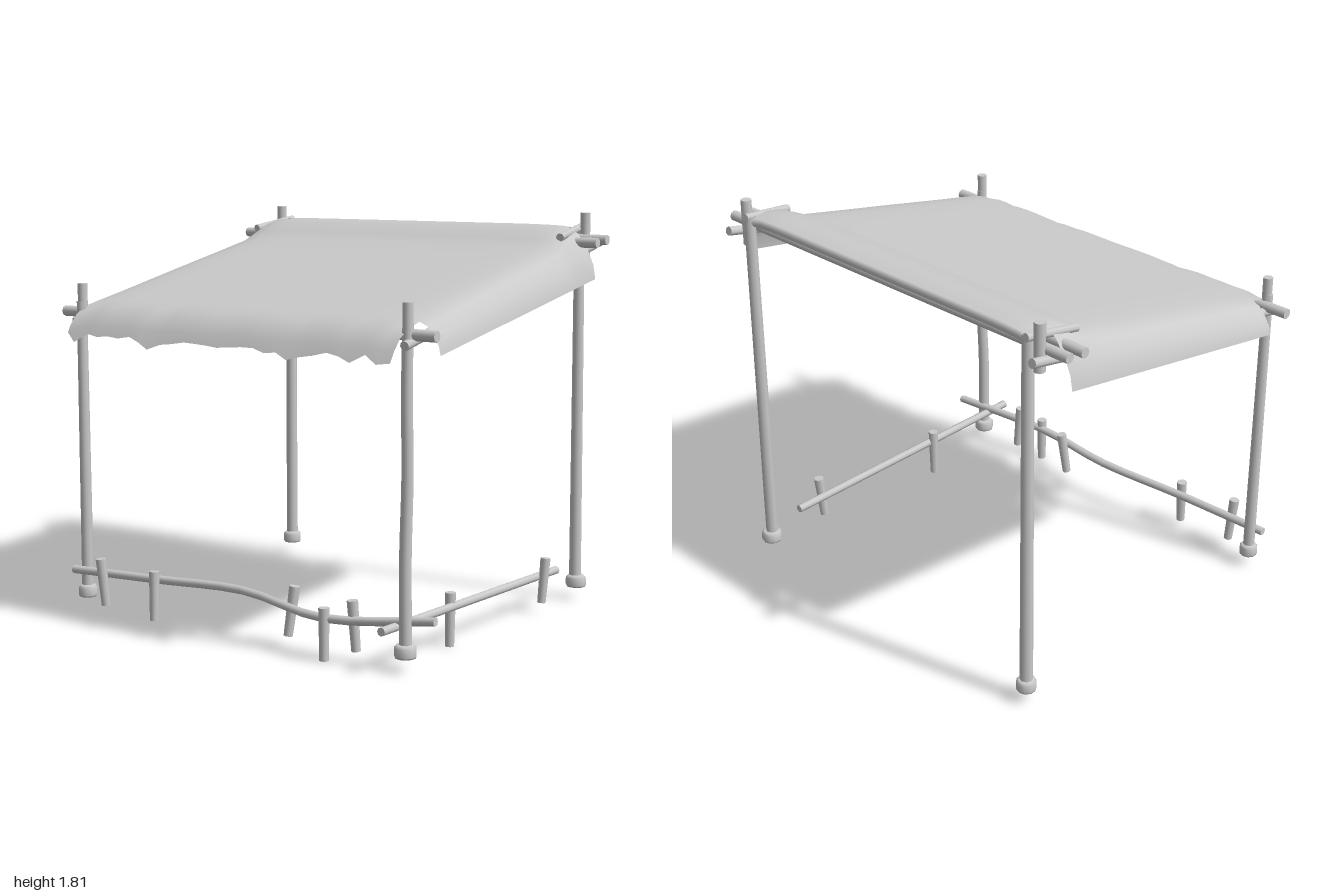
import * as THREE from 'three';

const material = new THREE.MeshStandardMaterial({ color: 0xcccccc });
const clothMaterial = new THREE.MeshStandardMaterial({ color: 0xcccccc, side: THREE.DoubleSide });
const V = (p) => new THREE.Vector3(...p);

// Round timber through evenly spread points; inner points bend it.
function pole(name, points, r0, r1 = r0, sides = 8) {
  const pts = points.map(V);
  const a = pts[0], b = pts[pts.length - 1];
  const dir = b.clone().sub(a);
  const bent = pts.length > 2;
  const geo = new THREE.CylinderGeometry(r1, r0, dir.length(), sides, bent ? 16 : 1);
  geo.translate(0, dir.length() / 2, 0);
  const turn = new THREE.Quaternion().setFromUnitVectors(new THREE.Vector3(0, 1, 0), dir.clone().normalize());
  const pos = geo.attributes.position;
  const curve = bent ? new THREE.CatmullRomCurve3(pts) : null;
  const v = new THREE.Vector3();
  const ts = Array.from(pos.array).filter((_, i) => i % 3 === 1).map((y) => y / dir.length());
  geo.applyQuaternion(turn);
  for (let i = 0; i < pos.count; i++) {
    v.fromBufferAttribute(pos, i).add(a);
    if (bent) v.add(curve.getPoint(Math.min(1, Math.max(0, ts[i])))).sub(a.clone().lerp(b, ts[i]));
    pos.setXYZ(i, v.x, v.y, v.z);
  }
  geo.computeBoundingSphere();
  const mesh = new THREE.Mesh(geo, material);
  mesh.name = name;
  return mesh;
}

// Rounded shoe under a post
function foot(name, x, z, r) {
  const profile = [[0, 0], [r * 0.92, 0], [r, 0.008], [r, 0.042], [r * 0.75, 0.055], [0, 0.055]];
  const mesh = new THREE.Mesh(new THREE.LatheGeometry(profile.map((p) => new THREE.Vector2(...p)), 10), material);
  mesh.position.set(x, 0.06, z);
  mesh.name = name;
  return mesh;
}

// Canopy: rows run back to front, columns run across with a drooping flap on each side.
function canopy() {
  // z, y, half width
  const rows = [
    [-0.775, 1.715, 0.82], [-0.785, 1.735, 0.82], [-0.77, 1.752, 0.82], [-0.68, 1.757, 0.83],
    [-0.6, 1.738, 0.84], [-0.52, 1.698, 0.85], [-0.45, 1.662, 0.86], [-0.2, 1.606, 0.865],
    [0.1, 1.542, 0.865], [0.4, 1.476, 0.865], [0.62, 1.428, 0.87], [0.7, 1.405, 0.87],
    [0.76, 1.37, 0.87], [0.8, 1.325, 0.87], [0.83, 1.28, 0.87],
  ];
  const flapFrom = 3, flapTo = 10;
  // Height of the torn front hem across the width
  const hem = [1.3, 1.255, 1.29, 1.28, 1.285, 1.28, 1.29, 1.27, 1.245, 1.268, 1.275, 1.285, 1.283, 1.28, 1.275,
    1.28, 1.285, 1.285, 1.27, 1.275, 1.25, 1.265, 1.275, 1.29, 1.28, 1.26, 1.295, 1.265, 1.28];
  const flap = [[0.35, 0.12], [0.7, 0.42], [0.92, 0.72], [1, 1]]; // outward, downward
  const n = hem.length, f = flap.length, cols = n + 2 * f;
  const positions = [], index = [];
  rows.forEach(([z, y, w], r) => {
    const last = r === rows.length - 1;
    const k = THREE.MathUtils.clamp((z + 0.68) / 1.3, 0, 1);
    const bottom = THREE.MathUtils.lerp(1.515, 1.285, k);
    for (let c = 0; c < cols; c++) {
      const i = c - f;
      if (i >= 0 && i < n) {
        const s = (i / (n - 1)) * 2 - 1;
        const droop = 0.012 * Math.pow(Math.abs(s), 12);
        const ripple = r > 10 && !last ? (hem[i] - 1.277) * 0.25 : 0;
        const zHem = last ? z - (hem[i] - 1.277) * 0.6 : z;
        positions.push(s * w, (last ? hem[i] : y + ripple) - droop, zHem);
      } else {
        const side = i < 0 ? -1 : 1;
        const [out, down] = flap[i < 0 ? -i - 1 : i - n];
        const top = y - 0.012;
        positions.push(side * (w + (0.97 - w) * out), top + (bottom - top) * down, z);
      }
    }
  });
  for (let r = 0; r < rows.length - 1; r++) {
    for (let c = 0; c < cols - 1; c++) {
      const onFlap = c < f || c >= f + n - 1;
      if (onFlap && (r < flapFrom || r >= flapTo)) continue;
      const a = r * cols + c, b = a + cols;
      index.push(a, b, a + 1, a + 1, b, b + 1);
    }
  }
  const geo = new THREE.BufferGeometry();
  geo.setAttribute('position', new THREE.Float32BufferAttribute(positions, 3));
  geo.setIndex(index);
  geo.computeVertexNormals();
  const mesh = new THREE.Mesh(geo, clothMaterial);
  mesh.name = 'canopyCloth';
  return mesh;
}

export function createModel() {
  const group = new THREE.Group();
  group.name = 'marketShelter';
  const add = (...m) => group.add(...m);

  add(canopy());

  // Front posts, the left one crooked
  add(pole('frontPostRight', [[-0.88, 0.08, 0.71], [-0.878, 1.42, 0.715]], 0.027, 0.023));
  add(pole('frontPostLeft', [[0.87, 0.08, 0.705], [0.862, 0.45, 0.7], [0.86, 0.8, 0.685], [0.868, 1.15, 0.705],
    [0.875, 1.42, 0.71]], 0.027, 0.023));
  // Back posts
  add(pole('backPostRight', [[-0.82, 0.08, -0.77], [-0.825, 1.75, -0.775]], 0.029, 0.025));
  add(pole('backPostLeft', [[0.85, 0.08, -0.77], [0.835, 1.75, -0.775]], 0.029, 0.025));

  add(foot('frontFootRight', -0.88, 0.71, 0.043), foot('frontFootLeft', 0.868, 0.705, 0.047));
  add(foot('backFootRight', -0.82, -0.77, 0.045), foot('backFootLeft', 0.855, -0.77, 0.048));

  // Mirrored timbers at the corners
  for (const [s, side] of [[-1, 'Right'], [1, 'Left']]) {
    add(pole('backStub' + side, [[s * 0.872, 1.6, -0.76], [s * 0.872, 1.81, -0.76]], 0.024));
    add(pole('frontStub' + side, [[s * 0.875, 1.32, 0.712], [s * 0.875, 1.5, 0.712]], 0.022));
    add(pole('rafter' + side, [[s * 0.885, 1.33, 0.75], [s * 0.906, 1.675, -0.84]], 0.021));
    add(pole('braceStick' + side, [[s * 0.862, 1.705, -0.54], [s * 0.835, 1.745, -0.8]], 0.019));
  }

  // Cross beams under the cloth
  add(pole('backBeam', [[-1, 1.69, -0.732], [1, 1.69, -0.732]], 0.023));
  add(pole('innerBackBeam', [[-1, 1.68, -0.643], [0.998, 1.68, -0.643]], 0.023));
  add(pole('frontBeam', [[-1, 1.37, 0.693], [1, 1.37, 0.693]], 0.024));

  // Low rails
  add(pole('frontRail', [[-0.93, 0.185, 0.745], [-0.45, 0.198, 0.715], [0, 0.207, 0.675], [0.5, 0.177, 0.755],
    [0.98, 0.215, 0.655]], 0.019));
  add(pole('sideRail', [[0.82, 0.182, 0.81], [0.835, 0.165, -0.61]], 0.019));

  // Pegs driven in beside the rails: bottom point, top point
  const pegs = [
    [[-0.722, 0.05, 0.76], [-0.735, 0.265, 0.775]],
    [[-0.427, 0.025, 0.765], [-0.432, 0.245, 0.755]],
    [[0.262, 0.05, 0.69], [0.283, 0.265, 0.67]],
    [[0.505, 0, 0.765], [0.505, 0.225, 0.765]],
    [[0.632, 0.05, 0.715], [0.62, 0.265, 0.725]],
    [[0.81, 0, 0.275], [0.812, 0.235, 0.275]],
    [[0.858, 0.05, -0.435], [0.866, 0.255, -0.452]],
  ];
  pegs.forEach(([a, b], i) => add(pole('peg' + (i + 1), [a, b], 0.02, 0.024)));

  return group;
}
